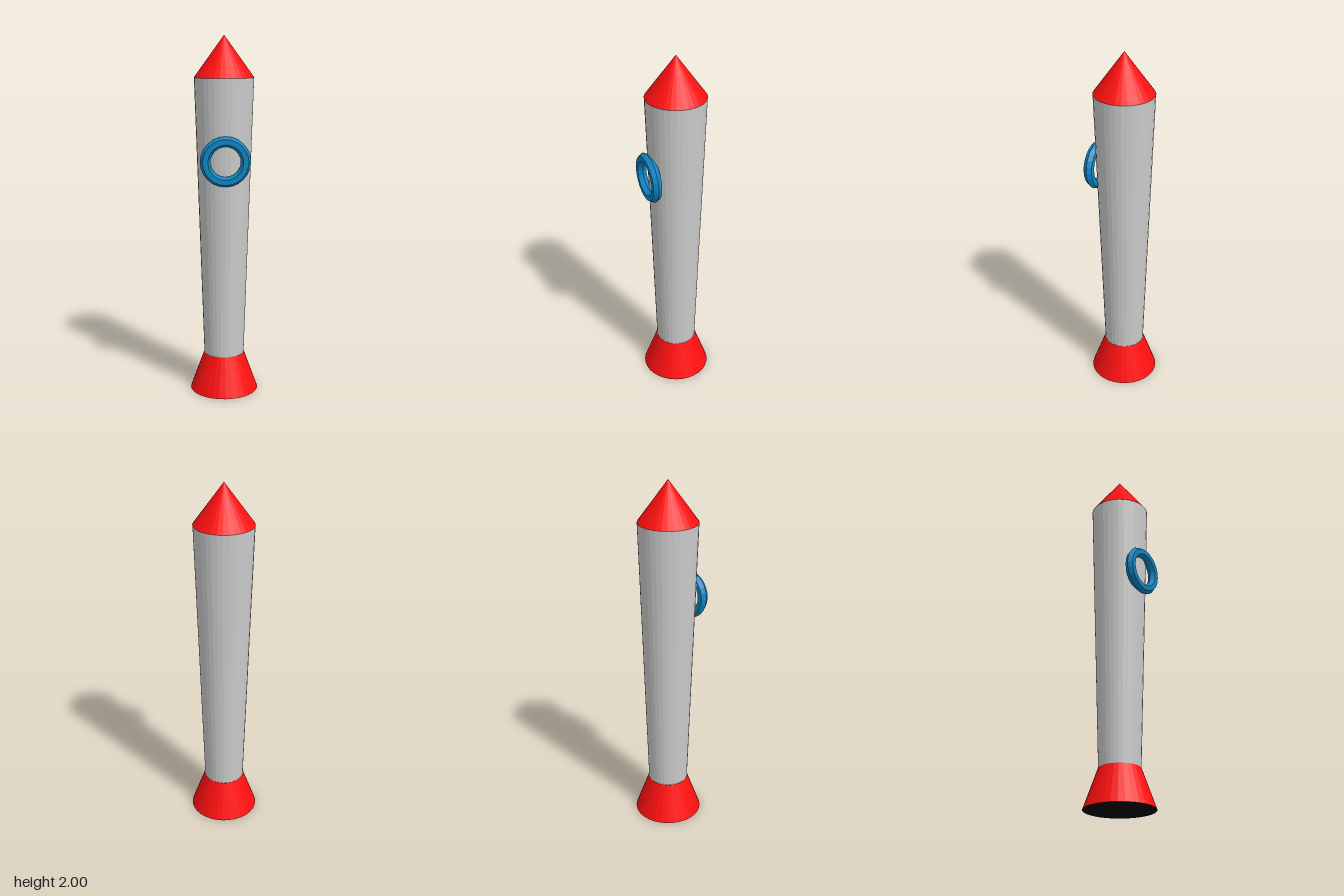
import * as THREE from 'three';

const SIDES = 32;

function part(name, geometry, color, y) {
  const material = new THREE.MeshStandardMaterial({ color, flatShading: true });
  const mesh = new THREE.Mesh(geometry, material);
  mesh.name = name;
  mesh.position.y = y;
  return mesh;
}

export function createModel() {
  const group = new THREE.Group();
  group.name = 'rocket';

  const red = 0xff1010, blue = 0x0f86c4;
  const skirtTop = 0.217, bodyTop = 1.775;
  const bodyLow = 0.113, bodyHigh = 0.163;
  const bodyHeight = bodyTop - skirtTop;

  // Flared engine skirt with a dark underside
  group.add(part('engineSkirt',
    new THREE.CylinderGeometry(bodyLow + 0.001, 0.192, skirtTop, SIDES, 1, true), red, skirtTop / 2));
  const base = part('engineOpening', new THREE.CircleGeometry(0.192, SIDES), 0x050505, 0);
  base.rotation.x = Math.PI / 2;
  group.add(base);

  // Hull widening towards the nose
  group.add(part('hull',
    new THREE.CylinderGeometry(bodyHigh, bodyLow, bodyHeight, SIDES), 0xcccccc, skirtTop + bodyHeight / 2));

  // Pointed nose
  const noseHeight = 2 - bodyTop;
  group.add(part('noseCone',
    new THREE.ConeGeometry(bodyHigh + 0.001, noseHeight, SIDES), red, bodyTop + noseHeight / 2));

  // Porthole rim, tilted to follow the hull wall
  const rim = part('portholeRim', new THREE.TorusGeometry(0.109, 0.028, 6, 24), blue, 1.337);
  rim.position.z = 0.157;
  rim.rotation.x = Math.atan((bodyHigh - bodyLow) / bodyHeight);
  group.add(rim);

  return group;
}
